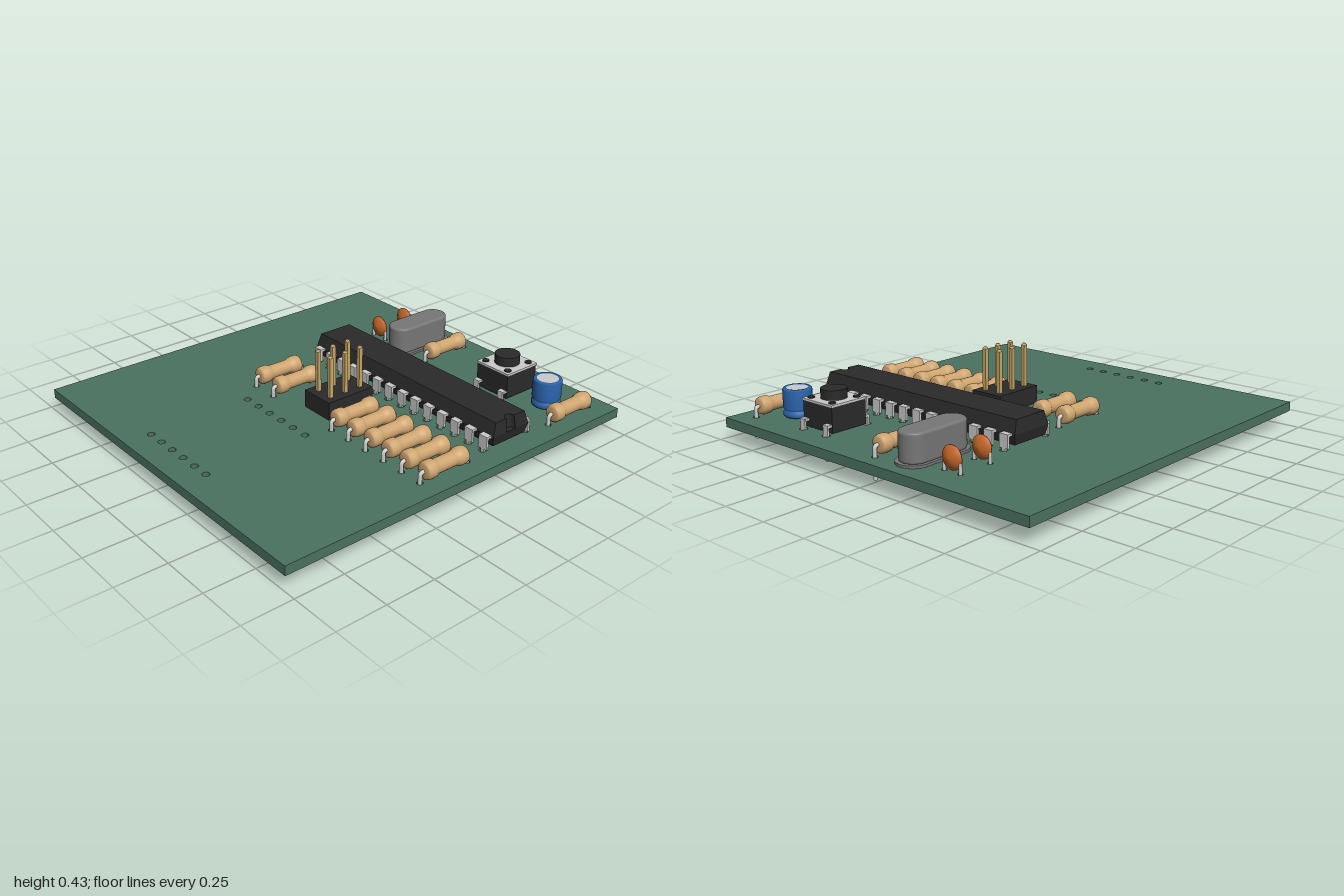
import * as THREE from 'three';

const mat = (color, extra = {}) => new THREE.MeshStandardMaterial({ color, ...extra });
const green = mat(0x4b7260), black = mat(0x2a2a2a), metal = mat(0xcccccc), tan = mat(0xcfa570);
const blue = mat(0x2b65ae), orange = mat(0xc8682a), steel = mat(0x777777), brass = mat(0xc8a868);
const BOTTOM = 0.075, TOP = 0.122;

function add(parent, name, geometry, material, x = 0, y = 0, z = 0) {
  const m = new THREE.Mesh(geometry, material);
  m.name = name;
  m.position.set(x, y, z);
  parent.add(m);
  return m;
}
function group(parent, name, x, z) {
  const g = new THREE.Group();
  g.name = name;
  g.position.set(x, 0, z);
  parent.add(g);
  return g;
}
const box = (w, h, d) => new THREE.BoxGeometry(w, h, d);
const cyl = (r, h, n = 32) => new THREE.CylinderGeometry(r, r, h, n);
const lathe = (pts, n = 32) => new THREE.LatheGeometry(pts.map(p => new THREE.Vector2(...p)), n);
// Flat outline raised along y; outline y is -z
const raise = (shape, h, opts = {}) =>
  new THREE.ExtrudeGeometry(shape, { depth: h, bevelEnabled: false, curveSegments: 16, ...opts }).rotateX(-Math.PI / 2);

// Rounded-end outline, long in z
function stadium(r, half) {
  const s = new THREE.Shape();
  s.absarc(0, half - r, r, 0, Math.PI, false);
  s.absarc(0, r - half, r, Math.PI, Math.PI * 2, false);
  s.closePath();
  return s;
}

// Axial resistor with bent leads
function resistor(parent, x, z) {
  const g = group(parent, 'resistor', x, z);
  const half = [[0.035, 0], [0.035, 0.05], [0.037, 0.062], [0.043, 0.072], [0.044, 0.085],
    [0.044, 0.105], [0.04, 0.117], [0.03, 0.123], [0, 0.124]];
  const profile = [...half.slice(1).reverse().map(([r, y]) => [r, -y]), ...half];
  add(g, 'resistorBody', lathe(profile, 28).rotateX(Math.PI / 2), tan, 0, 0.172, 0);
  for (const s of [-1, 1]) {
    const path = new THREE.CurvePath();
    const v = (y, zz) => new THREE.Vector3(0, y, s * zz);
    path.add(new THREE.LineCurve3(v(0.172, 0.115), v(0.172, 0.125)));
    path.add(new THREE.QuadraticBezierCurve3(v(0.172, 0.125), v(0.172, 0.141), v(0.155, 0.141)));
    path.add(new THREE.LineCurve3(v(0.155, 0.141), v(0.02, 0.141)));
    add(g, 'resistorLead', new THREE.TubeGeometry(path, 28, 0.01, 10), metal);
    add(g, 'leadTip', cyl(0.01, 0.002, 10), metal, 0, 0.02, s * 0.141);
  }
}

// Disc capacitor, lens-shaped
function discCapacitor(parent, x, z) {
  const g = group(parent, 'discCapacitor', x, z);
  const lens = [[0, -0.026], [0.02, -0.023], [0.04, -0.014], [0.055, -0.003], [0.055, 0.003], [0.04, 0.014], [0.02, 0.023], [0, 0.026]];
  add(g, 'discBody', lathe(lens).rotateX(Math.PI / 2), orange, 0, 0.185, 0);
  for (const s of [-1, 1]) add(g, 'discLead', cyl(0.008, 0.115, 10), metal, s * 0.046, 0.113, 0);
}

// Half of the chip body: notched outline, tapering toward its outer face
function chipHalf(h, inset, flip) {
  const L = 0.628, D = 0.114, s = new THREE.Shape();
  s.moveTo(-L, -D);
  s.lineTo(L, -D);
  if (!flip) {
    s.lineTo(L, -0.03);
    s.absarc(L, 0, 0.03, -Math.PI / 2, Math.PI / 2, true);
  }
  s.lineTo(L, D);
  s.lineTo(-L, D);
  s.closePath();
  const geo = raise(s, h), p = geo.attributes.position;
  for (let i = 0; i < p.count; i++) {
    const t = flip ? 1 - p.getY(i) / h : p.getY(i) / h;
    p.setX(i, p.getX(i) * (1 - 0.016 * t));
    p.setZ(i, p.getZ(i) * (1 - inset * t));
  }
  geo.computeVertexNormals();
  return geo;
}

function chip(parent, pinXs) {
  const g = group(parent, 'chip', 0.219, -0.352);
  add(g, 'chipLower', chipHalf(0.05, 0.1, true), black, 0, 0.14, 0);
  add(g, 'chipUpper', chipHalf(0.065, 0.18, false), black, 0, 0.19, 0);
  for (const px of pinXs) for (const s of [-1, 1]) {
    const x = px - 0.219;
    add(g, 'pinShoulder', box(0.05, 0.012, 0.04), metal, x, 0.19, s * 0.122);
    add(g, 'pinPlate', box(0.05, 0.066, 0.012), metal, x, 0.163, s * 0.136);
    add(g, 'pinLeg', box(0.02, 0.115, 0.012), metal, x, 0.0755, s * 0.136);
  }
}

function pushButton(parent, x, z) {
  const g = group(parent, 'pushButton', x, z);
  add(g, 'buttonHousing', box(0.2, 0.125, 0.2), black, 0, 0.1925, 0);
  add(g, 'buttonCover', box(0.206, 0.01, 0.206), metal, 0, 0.257, 0);
  add(g, 'buttonCap', cyl(0.062, 0.05, 40), black, 0, 0.283, 0);
  for (const sx of [-1, 1]) for (const sz of [-1, 1]) {
    add(g, 'cornerRivet', cyl(0.017, 0.008, 20), black, sx * 0.073, 0.264, sz * 0.073);
    add(g, 'buttonFoot', box(0.036, 0.012, 0.03), metal, sx * 0.08, 0.165, sz * 0.108);
    add(g, 'buttonLeg', box(0.032, 0.06, 0.01), metal, sx * 0.08, 0.141, sz * 0.121);
    add(g, 'buttonLegTip', box(0.022, 0.115, 0.01), metal, sx * 0.08, 0.0575, sz * 0.121);
  }
}

function canCapacitor(parent, x, z) {
  const g = group(parent, 'canCapacitor', x, z);
  const sleeve = [[0, 0.128], [0.064, 0.128], [0.07, 0.134], [0.07, 0.15], [0.063, 0.158], [0.063, 0.164],
    [0.07, 0.173], [0.07, 0.26], [0.065, 0.267], [0.053, 0.267], [0.052, 0.262]];
  add(g, 'sleeve', lathe(sleeve, 40), blue);
  add(g, 'canTop', cyl(0.053, 0.004, 40), metal, 0, 0.263, 0);
  for (const s of [-1, 1]) add(g, 'canLead', cyl(0.009, 0.08, 10), metal, 0, 0.095, s * 0.033);
}

function crystal(parent, x, z) {
  const g = group(parent, 'crystal', x, z);
  add(g, 'crystalFlange', raise(stadium(0.081, 0.196), 0.012), steel, 0, 0.124, 0);
  const bevel = { bevelEnabled: true, bevelSize: 0.012, bevelThickness: 0.012, bevelSegments: 4 };
  add(g, 'crystalCan', raise(stadium(0.056, 0.168), 0.115, bevel), steel, 0, 0.145, 0);
  for (const s of [-1, 1]) add(g, 'crystalLead', cyl(0.011, 0.11, 12), brass, 0, 0.082, s * 0.09);
}

function pinHeader(parent, x, z) {
  const g = group(parent, 'pinHeader', x, z);
  for (const sx of [-1, 1]) for (const row of [-1, 0, 1]) {
    add(g, 'headerBlock', box(0.09, 0.09, 0.09), black, sx * 0.045, 0.17, row * 0.09);
    add(g, 'headerPin', box(0.02, 0.39, 0.02), brass, sx * 0.045, 0.225, row * 0.09);
    for (const end of [-1, 1]) {
      const tip = new THREE.CylinderGeometry(0.007, 0.0141, 0.01, 4).rotateY(Math.PI / 4);
      if (end < 0) tip.rotateX(Math.PI);
      add(g, 'headerPinTip', tip, brass, sx * 0.045, 0.225 + end * 0.2, row * 0.09);
    }
  }
}

export function createModel() {
  const root = new THREE.Group();
  root.name = 'circuitBoard';
  const pinXs = Array.from({ length: 14 }, (_, i) => -0.367 + i * 0.0905);
  const resistors = [[-0.015, -0.78], [0.84, -0.76], [-0.34, 0.062], [-0.2, 0.062],
    ...[0.24, 0.36, 0.48, 0.6, 0.718, 0.836].map(x => [x, 0.055])];

  // Board with drilled holes
  const board = new THREE.Shape();
  board.moveTo(-0.945, -1);
  board.lineTo(0.945, -1);
  board.lineTo(0.945, 1);
  board.lineTo(-0.945, 1);
  board.closePath();
  const drill = (x, z, r = 0.018) => {
    const hole = new THREE.Path();
    hole.absarc(x, -z, r, 0, Math.PI * 2, true);
    board.holes.push(hole);
  };
  for (let i = 0; i < 6; i++) for (const z of [0.32, 0.863]) drill(-0.253 + i * 0.0905, z);
  for (const x of pinXs) for (const s of [-1, 1]) drill(x, -0.352 + s * 0.14);
  for (const [x, z] of resistors) for (const s of [-1, 1]) drill(x, z + s * 0.141, 0.015);
  for (const sx of [-1, 1]) for (const sz of [-1, 1]) drill(0.448 + sx * 0.08, -0.747 + sz * 0.121, 0.02);
  for (const z of [-0.84, -0.66]) for (const s of [-1, 1]) drill(-0.395 + s * 0.046, z, 0.013);
  add(root, 'board', raise(board, TOP - BOTTOM, { curveSegments: 10 }), green, 0, BOTTOM, 0);

  for (const [x, z] of resistors) resistor(root, x, z);
  for (const z of [-0.84, -0.66]) discCapacitor(root, -0.395, z);
  chip(root, pinXs);
  crystal(root, -0.195, -0.75);
  pushButton(root, 0.448, -0.747);
  canCapacitor(root, 0.7, -0.76);
  pinHeader(root, 0.076, 0.016);
  return root;
}
